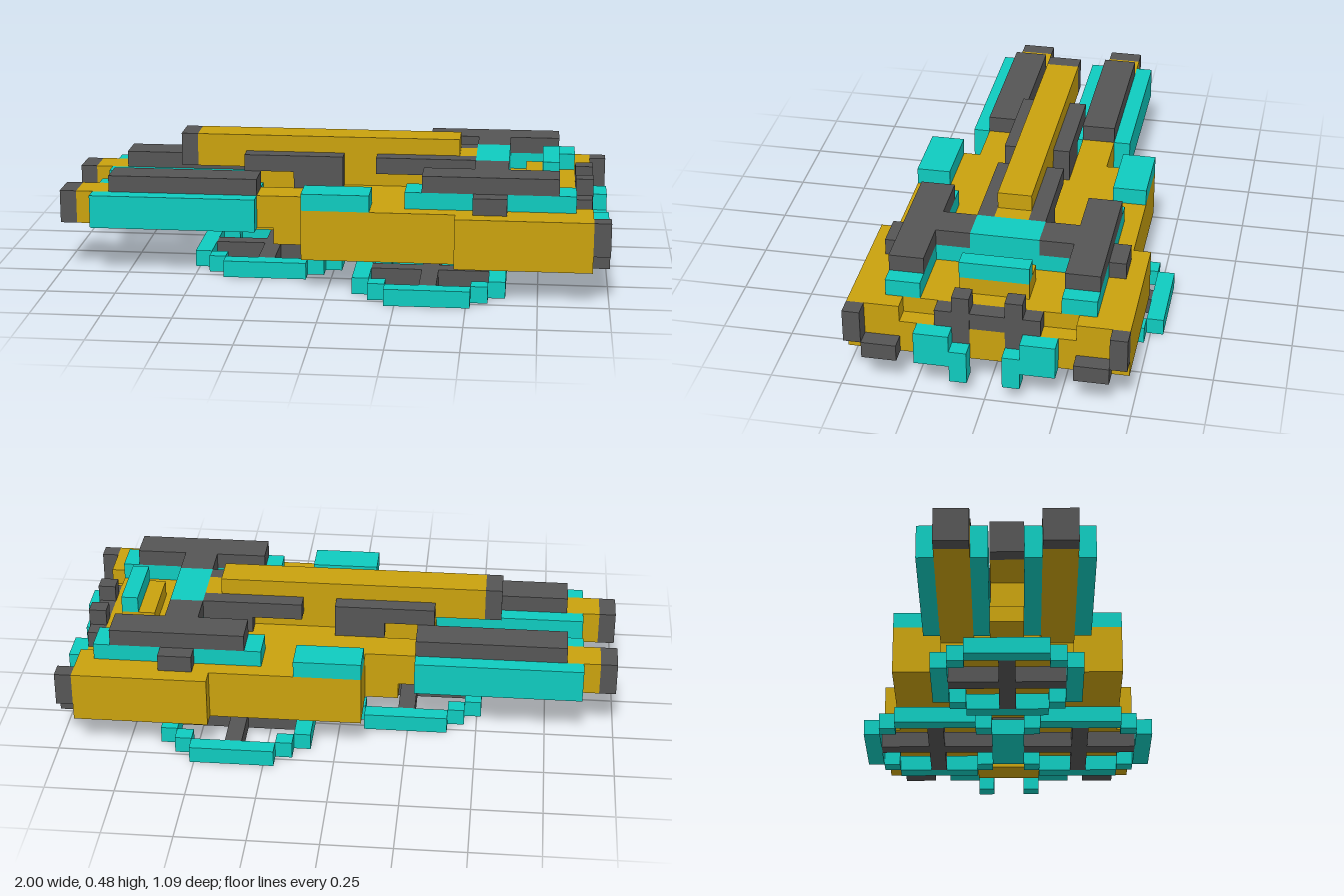
import * as THREE from 'three';

const U = 2 / 33; // size of one block

export function createModel() {
  const model = new THREE.Group();
  model.name = 'hoverCraft';
  const mat = (name, color) => {
    const m = new THREE.MeshStandardMaterial({ color });
    m.name = name;
    return m;
  };
  const gold = mat('gold', 0xc9a20e);
  const teal = mat('teal', 0x0fcbbf);
  const grey = mat('darkGrey', 0x555555);

  // Box between block coordinates: x 0..33 from the nose, y 0..8, z -9..9
  const box = (name, m, x0, x1, y0, y1, z0, z1, parent = model) => {
    const mesh = new THREE.Mesh(
      new THREE.BoxGeometry((x1 - x0) * U, (y1 - y0) * U, (z1 - z0) * U), m);
    mesh.position.set(-1 + (x0 + x1) / 2 * U, (y0 + y1) / 2 * U, (z0 + z1) / 2 * U);
    mesh.name = name;
    parent.add(mesh);
    return mesh;
  };
  const pair = (name, m, x0, x1, y0, y1, z0, z1) => {
    box(name + 'Left', m, x0, x1, y0, y1, z0, z1);
    box(name + 'Right', m, x0, x1, y0, y1, -z1, -z0);
  };

  // Hull
  box('hullFront', gold, 15, 24, 2, 5, -7, 7);
  box('hullRear', gold, 24, 31, 2, 5, -8, 8);
  box('hullTail', gold, 31, 32, 2, 4, -8, 8);
  pair('tailCorner', gold, 31, 32, 4, 5, 5, 8);
  box('hullNose', gold, 13, 15, 2, 3, -4, 4);
  box('keel', gold, 8, 13, 2, 3, -1, 1);
  box('bellyPlate', gold, 28, 30, 1, 2, -2, 2);

  // Central gun along the top
  box('gunBarrel', gold, 8, 24, 6, 8, -1, 1);
  box('gunMuzzle', grey, 7, 8, 6, 8, -1, 1);
  box('gunMount', gold, 11, 25, 5, 6, -1, 1);
  box('gunStep', gold, 24, 25, 6, 7, -1, 1);
  box('noseCore', gold, 11, 15, 3, 5, -1, 1);
  pair('frontRail', grey, 11, 17, 6, 7, 1, 2);
  pair('frontRailLeg', grey, 14, 17, 5, 6, 1, 2);
  pair('rearRail', grey, 19, 25, 6, 7, 1, 2);
  pair('rearRailLeg', grey, 22, 25, 5, 6, 1, 2);

  // Side cannons
  pair('cannonTip', grey, 0, 1, 3, 5, 2, 4);
  pair('cannonCore', gold, 1, 15, 3, 5, 2, 4);
  pair('cannonInnerPlate', teal, 2, 12, 3, 5, 1, 2);
  pair('cannonOuterPlate', teal, 2, 12, 3, 5, 4, 5);
  pair('cannonCap', grey, 3, 12, 5, 6, 2, 4);
  pair('shoulderPad', teal, 15, 19, 5, 6, 5, 7);

  // Roof pods and the cross bar that joins them
  pair('podBase', teal, 21, 31, 5, 6, 4, 6);
  pair('podTop', grey, 22, 30, 6, 7, 4, 6);
  pair('barSupport', teal, 25, 27, 5, 6, 2, 4);
  pair('barArm', grey, 25, 27, 6, 7, 2, 4);
  pair('barEnd', grey, 25, 27, 5, 6, 6, 7);
  box('barCentre', teal, 25, 27, 5, 7, -2, 2);

  // Seat
  box('seat', gold, 28, 30, 5, 6, -2, 2);
  box('seatBack', teal, 29, 30, 6, 7, -2, 2);

  // Tail frame and exhausts
  pair('tailPost', grey, 31, 32.05, 3, 6, 1, 2);
  box('tailBar', grey, 31, 32, 4, 5, -3, 3);
  pair('exhaustUpper', teal, 32, 33, 2, 4, 2, 4);
  pair('exhaustLower', teal, 32, 33, 1, 3, 1, 2);
  pair('tailLightUpper', grey, 32, 33, 3, 5, 7, 8);
  pair('tailLightLower', grey, 32, 33, 2, 3, 5, 7);

  // Hover rings, each with a cross of spokes
  const ring = (name, x, z) => {
    const g = new THREE.Group();
    g.name = name;
    for (const s of [0, 8]) {
      box('ringSide', teal, x + 2, x + 7, 0, 1, z + s, z + s + 1, g);
      box('ringEnd', teal, x + s, x + s + 1, 0, 1, z + 2, z + 7, g);
    }
    for (const a of [1, 7]) for (const b of [1, 7])
      box('ringCorner', teal, x + a, x + a + 1, 0, 1, z + b, z + b + 1, g);
    box('spokeLong', grey, x + 1, x + 8, 0, 1, z + 4, z + 5, g);
    box('spokeCrossA', grey, x + 4, x + 5, 0, 1, z + 1, z + 4, g);
    box('spokeCrossB', grey, x + 4, x + 5, 0, 1, z + 5, z + 8, g);
    model.add(g);
  };
  ring('ringLeft', 18, 0);
  ring('ringRight', 18, -9);
  ring('ringFront', 8, -4.5);
  box('ringPost', grey, 22, 23, 1, 2, -1, 1);

  return model;
}
